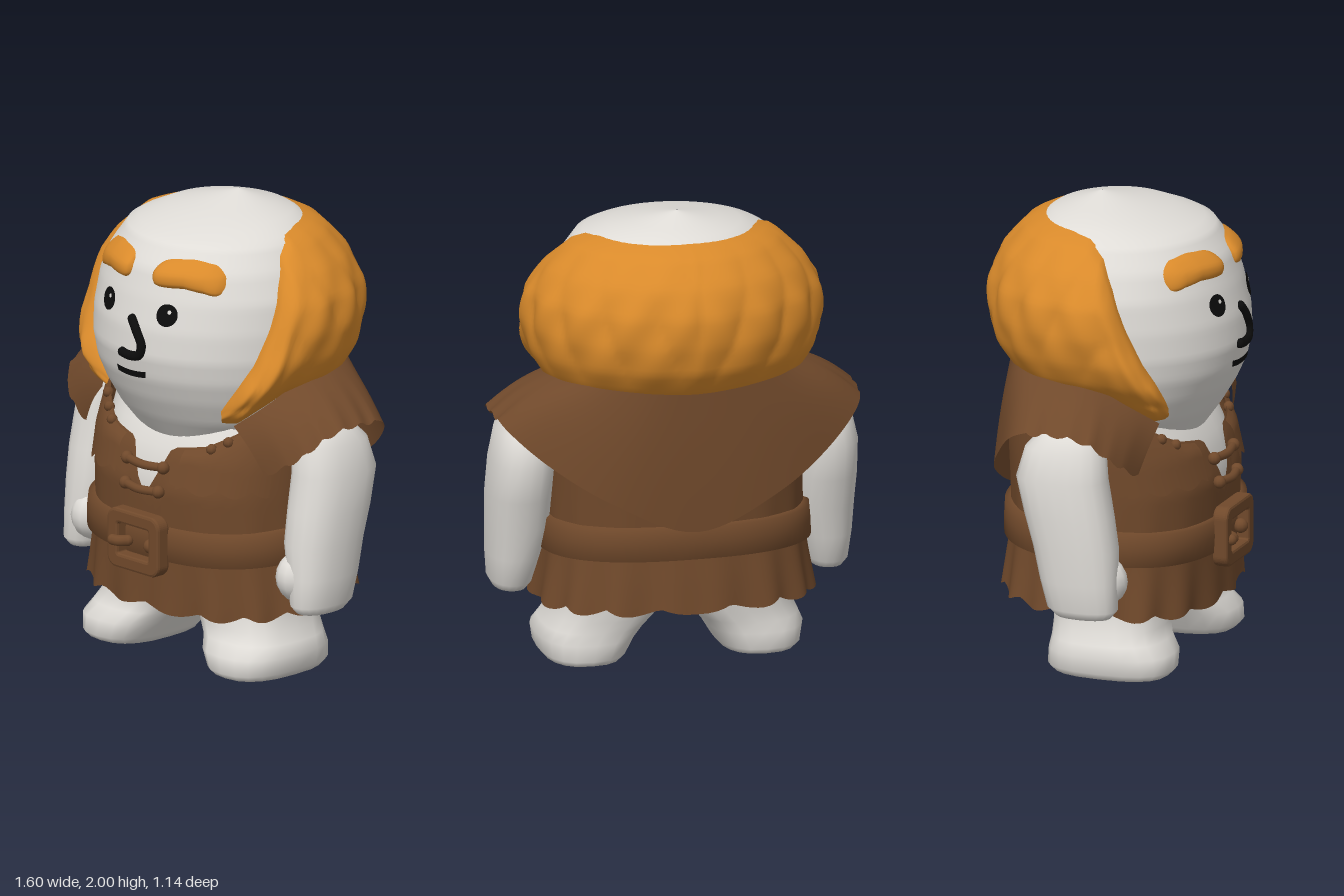
import * as THREE from 'three';
import { mergeVertices } from 'three/addons/utils/BufferGeometryUtils.js';

const PI = Math.PI, DEG = PI / 180;
const V = (x, y, z) => new THREE.Vector3(x, y, z);
const mat = (name, color) => Object.assign(new THREE.MeshStandardMaterial({ color }), { name });

// Piecewise linear lookup: rows [key, a, b, ...]
function lookup(rows, k) {
  let i = 0;
  while (i < rows.length - 2 && k > rows[i + 1][0]) i++;
  const p = rows[i], q = rows[i + 1];
  const t = Math.min(1, Math.max(0, (k - p[0]) / (q[0] - p[0])));
  return p.slice(1).map((a, j) => a + (q[j + 1] - a) * t);
}

// Smooth grid surface from fn(u, v), both 0..1
function surface(fn, nu, nv) {
  const pos = [], idx = [];
  for (let j = 0; j <= nv; j++) for (let i = 0; i <= nu; i++) pos.push(...fn(i / nu, j / nv).toArray());
  for (let j = 0; j < nv; j++) for (let i = 0; i < nu; i++) {
    const a = j * (nu + 1) + i, b = a + nu + 1;
    idx.push(a, a + 1, b + 1, a, b + 1, b);
  }
  let g = new THREE.BufferGeometry();
  g.setAttribute('position', new THREE.Float32BufferAttribute(pos, 3));
  g.setIndex(idx);
  g = mergeVertices(g, 1e-5);
  g.computeVertexNormals();
  return g;
}

// Point on a rounded body: angle 0 is the front, 90 degrees is +x
function ringPoint(rows, n, th, y, off = 0) {
  const [w, f, b, c = 0] = lookup(rows, y);
  const pw = (a) => Math.sign(a) * Math.abs(a) ** (2 / n);
  const s = pw(Math.sin(th)), k = pw(Math.cos(th));
  return V((w + off) * s, y, c + (k > 0 ? f - c + off : b + c + off) * k);
}

// Limb from rings [y, centre x, centre z, half width, half depth]
function limb(rings, side, n) {
  const last = rings.length - 1;
  return surface((u, v) => {
    const [y, cx, cz, rx, rz] = rings[Math.round(v * last)];
    const p = ringPoint([[0, rx, rz, rz], [1, rx, rz, rz]], n, u * 2 * PI, 0);
    return V(p.x + cx * side, y, p.z + cz);
  }, 20, last);
}

// Rows: y, half width, front z, back depth, centre z
const HEAD = [
  [0.97, 0.01, 0.02, 0.01, 0], [0.975, 0.33, 0.33, 0.25, 0], [1.1, 0.45, 0.42, 0.31, 0],
  [1.2, 0.5, 0.48, 0.36, 0], [1.3, 0.535, 0.525, 0.42, 0], [1.4, 0.55, 0.545, 0.46, 0],
  [1.52, 0.55, 0.537, 0.47, 0], [1.65, 0.535, 0.505, 0.465, 0], [1.77, 0.485, 0.465, 0.44, 0],
  [1.88, 0.41, 0.38, 0.38, 0], [1.935, 0.29, 0.2, 0.3, -0.04], [2, 0.002, -0.098, 0.102, -0.1]];
const TORSO = [
  [0.27, 0.6, 0.45, 0.47], [0.45, 0.57, 0.45, 0.45], [0.6, 0.55, 0.45, 0.43], [0.8, 0.55, 0.46, 0.44],
  [0.95, 0.55, 0.42, 0.45], [1.12, 0.55, 0.32, 0.45], [1.3, 0.5, 0.25, 0.43]];
const head = (th, y, off) => ringPoint(HEAD, 2, th, y, off);
const torso = (th, y, off) => ringPoint(TORSO, 2.5, th, y, off);
const fold = (th) => { const d = (th / DEG) % 360; return Math.min(d, 360 - d); };

export function createModel() {
  const root = new THREE.Group();
  const skin = mat('skin', 0xdfdcd7), hair = mat('hair', 0xd98a2b);
  const leather = mat('leather', 0x70492b), ink = mat('ink', 0x0c0c0c);
  leather.side = THREE.DoubleSide;
  const add = (name, geo, m, x = 0, y = 0, z = 0) => {
    const o = new THREE.Mesh(geo, m);
    o.name = name;
    o.position.set(x, y, z);
    root.add(o);
    return o;
  };
  // Rounded rod through points
  const rod = (name, pts, r, m) => {
    add(name, new THREE.TubeGeometry(new THREE.CatmullRomCurve3(pts), 20, r, 10), m);
    for (const p of [pts[0], pts[pts.length - 1]]) add(name + 'End', new THREE.SphereGeometry(r, 10, 8), m, p.x, p.y, p.z);
  };
  // Point on the face at a given x and y
  const onFace = (x, y, lift) => {
    const [w, f] = lookup(HEAD, y);
    return V(x, y, f * Math.sqrt(1 - (x / w) ** 2) + lift);
  };

  // Head, chest inside the collar, and hips
  add('head', surface((u, v) => head(u * 2 * PI, 0.97 + 1.03 * v), 48, 48), skin);
  add('chest', surface((u, v) => torso(u * 2 * PI, 0.6 + 0.48 * v, -0.035), 40, 8), skin);
  add('hips', limb([[0.33, 0, 0, 0.001, 0.001], [0.34, 0, 0, 0.35, 0.26], [0.4, 0, 0, 0.53, 0.41], [0.5, 0, 0, 0.52, 0.4]], 1, 2.5), skin);

  // Hair wraps the back and sides and runs down into sideburns
  const hairLow = [[44, 1.11], [52, 1.11], [62, 1.17], [75, 1.24], [90, 1.255], [180, 1.225]];
  const hairTop = [[44, 1.18], [50, 1.26], [60, 1.4], [67, 1.55], [73, 1.72], [79, 1.84], [88, 1.905], [105, 1.92], [180, 1.93]];
  add('hair', surface((u, v) => {
    const th = (44 + 272 * u) * DEG, d = fold(th);
    const lo = lookup(hairLow, d)[0], hi = lookup(hairTop, d)[0];
    const bulge = Math.sqrt(Math.max(0, Math.sin(PI * v)));
    const ends = Math.min(1, (d - 44) / 10);
    const locks = (0.018 * Math.abs(Math.sin(d * 0.14 + v * 4)) + 0.006 * Math.sin(d * 0.3 - v * 11)) * bulge ** 3;
    return head(th, lo + (hi - lo) * v, -0.015 + (0.1 * bulge + locks) * (0.35 + 0.65 * ends));
  }, 140, 28), hair);

  // Face: painted eyes and mouth, raised nose line and brows
  const paint = (name, shape, m, lift = 0.008) => {
    const g = new THREE.ShapeGeometry(shape, 10), p = g.attributes.position;
    for (let i = 0; i < p.count; i++) p.setZ(i, onFace(p.getX(i), p.getY(i), lift).z);
    g.computeVertexNormals();
    add(name, g, m);
  };
  const disc = (x, y, r) => new THREE.Shape().absarc(x, y, r, 0, 2 * PI);
  const browLine = [[0.06, 1.757], [0.12, 1.765], [0.22, 1.772], [0.3, 1.758], [0.365, 1.728]];
  for (const s of [-1, 1]) {
    paint('eye', disc(s * 0.175, 1.6, 0.048), ink);
    paint('eyeGlint', disc(s * 0.175 + 0.012, 1.615, 0.009), skin, 0.012);
    add('eyebrow', surface((u, v) => {
      const t = 2 * u - 1, x = s * 0.2125 + 0.1525 * t, round = Math.sqrt(1 - t ** 6);
      const y = lookup(browLine, Math.abs(x))[0] + 0.063 * (2 * v - 1) * round;
      return onFace(x, y, -0.012 + 0.045 * Math.sqrt(Math.max(0, Math.sin(PI * v))) * round);
    }, 28, 10), hair);
  }
  rod('nose', [[0, 1.555], [0.035, 1.51], [0.066, 1.45], [0.052, 1.407], [0, 1.397], [-0.045, 1.402]]
    .map(([x, y]) => onFace(x, y, 0.002)), 0.021, ink);
  const mouth = new THREE.Shape();
  mouth.moveTo(-0.092, 1.336);
  mouth.quadraticCurveTo(-0.005, 1.322, 0.082, 1.336);
  mouth.lineTo(0.078, 1.308);
  mouth.quadraticCurveTo(-0.005, 1.294, -0.088, 1.308);
  paint('mouth', mouth, ink);

  // Tunic with slit collar and ragged hem
  const collar = [[0, 0.76], [8, 0.98], [25, 1.01], [50, 1.12], [80, 1.27], [180, 1.29]];
  add('tunic', surface((u, v) => {
    const th = u * 2 * PI, d = fold(th);
    const lo = 0.31 - 0.03 * Math.cos(th) - 0.03 * Math.abs(Math.sin(d * 0.13)), hi = lookup(collar, d)[0];
    const pleat = 0.012 * Math.sin(d * 0.26) * (1 - v) ** 3;
    return torso(th, lo + (hi - lo) * v, pleat);
  }, 144, 24), leather);

  // Ragged yoke over each side of the chest
  for (const s of [-1, 1]) add('yoke', surface((u, v) => {
    const d = 14 + 52 * u, lo = 0.84 - 0.03 * Math.abs(Math.sin(d * 0.17));
    const hi = lookup(collar, d)[0] - 0.01;
    return torso(s * d * DEG, lo + (hi - lo) * v, 0.014 * Math.min(1, (1 - v) * 6));
  }, 40, 8), leather);

  // Shoulder cape: neck edge to a ragged outer edge, falling to a point at the back
  const mirrored = (pts) => new THREE.CatmullRomCurve3(
    [...pts, ...pts.slice(0, -1).reverse().map(([x, y, z]) => [-x, y, z])].map((p) => V(...p)));
  const inner = mirrored([[0.4, 1.12, 0.32], [0.49, 1.21, 0.21], [0.53, 1.29, 0.07], [0.53, 1.32, -0.09],
    [0.48, 1.32, -0.24], [0.38, 1.32, -0.35], [0.2, 1.31, -0.43], [0, 1.31, -0.45]]);
  const outer = mirrored([[0.54, 0.93, 0.28], [0.7, 1.03, 0.23], [0.785, 1.13, 0.12], [0.795, 1.15, -0.06],
    [0.77, 1.11, -0.2], [0.62, 0.98, -0.33], [0.36, 0.82, -0.445], [0, 0.68, -0.475]]);
  add('shoulderCape', surface((u, v) => {
    const p = outer.getPoint(u).lerp(inner.getPoint(u), v);
    const e = Math.min(u, 1 - u), rag = e < 0.25 ? 0.022 * Math.abs(Math.sin(e * 75)) * (1 - v) ** 2 : 0;
    const puff = 0.012 * Math.sin(PI * v);
    return V(p.x * (1 + puff), p.y + puff - rag, p.z * (1 + puff));
  }, 112, 10), leather);

  // Belt, tilted up towards the back
  const beltRing = [[-0.08, 0], [-0.075, 0.028], [0, 0.034], [0.065, 0.028], [0.07, 0]];
  add('belt', surface((u, v) => {
    const th = u * 2 * PI, [dy, off] = beltRing[Math.round(v * 4)];
    return torso(th, 0.6 - 0.03 * Math.cos(th) + dy, off);
  }, 72, 4), leather);

  // Buckle frame and prong
  const rect = (Shape, w, h, r) => {
    const s = new Shape();
    s.absarc(w - r, h - r, r, 0, PI / 2).absarc(-w + r, h - r, r, PI / 2, PI);
    return s.absarc(-w + r, -h + r, r, PI, 1.5 * PI).absarc(w - r, -h + r, r, 1.5 * PI, 2 * PI);
  };
  const frame = rect(THREE.Shape, 0.145, 0.12, 0.04);
  frame.holes.push(rect(THREE.Path, 0.105, 0.08, 0.02));
  add('buckle', new THREE.ExtrudeGeometry(frame, { depth: 0.045, bevelSize: 0.012, bevelThickness: 0.012, bevelSegments: 2, curveSegments: 5 }),
    leather, 0, 0.56, 0.475);
  rod('buckleProng', [V(-0.115, 0.55, 0.535), V(-0.085, 0.55, 0.53), V(-0.06, 0.55, 0.5)], 0.024, leather);
  add('buckleStud', new THREE.SphereGeometry(0.032, 10, 8), leather, 0.08, 0.555, 0.5);

  // Lacing across the slit and knobs on the collar
  for (const [y, w, z] of [[0.9, 0.11, 0.455], [0.795, 0.1, 0.475]]) {
    rod('lace', [V(-w, y, z), V(0, y - 0.005, z + 0.015), V(w, y, z)], 0.019, leather);
    for (const s of [-1, 1]) add('laceKnob', new THREE.SphereGeometry(0.028, 10, 8), leather, s * w, y, z);
  }
  for (const s of [-1, 1]) for (const d of [28, 36, 45]) {
    const p = torso(s * d * DEG, lookup(collar, d)[0] - 0.02, 0.005);
    add('collarKnob', new THREE.SphereGeometry(0.024, 8, 6), leather, p.x, p.y, p.z);
  }

  // Arms, fists and legs
  const arm = [[0.32, 0.69, 0.09, 0.001, 0.001], [0.325, 0.69, 0.09, 0.07, 0.12], [0.36, 0.69, 0.085, 0.09, 0.155],
    [0.48, 0.68, 0.065, 0.112, 0.17], [0.62, 0.665, 0.045, 0.132, 0.185], [0.76, 0.665, 0.015, 0.137, 0.195],
    [0.92, 0.66, -0.02, 0.137, 0.2], [1.05, 0.645, -0.01, 0.125, 0.175], [1.13, 0.62, 0, 0.09, 0.11], [1.15, 0.6, 0, 0.001, 0.001]];
  const leg = [[0, 0.38, 0.1, 0.001, 0.001], [0.003, 0.38, 0.1, 0.165, 0.25], [0.03, 0.38, 0.1, 0.185, 0.278],
    [0.1, 0.365, 0.1, 0.212, 0.275], [0.15, 0.335, 0.08, 0.22, 0.25], [0.2, 0.298, 0.065, 0.23, 0.24],
    [0.29, 0.255, 0.055, 0.25, 0.24], [0.45, 0.25, 0.03, 0.25, 0.24]];
  for (const s of [-1, 1]) {
    add('arm', limb(arm, s, 2.3), skin);
    add('fist', new THREE.SphereGeometry(1, 14, 10), skin, s * 0.625, 0.47, 0.14).scale.set(0.095, 0.115, 0.12);
    add('leg', limb(leg, s, 2.6), skin);
  }
  return root;
}
